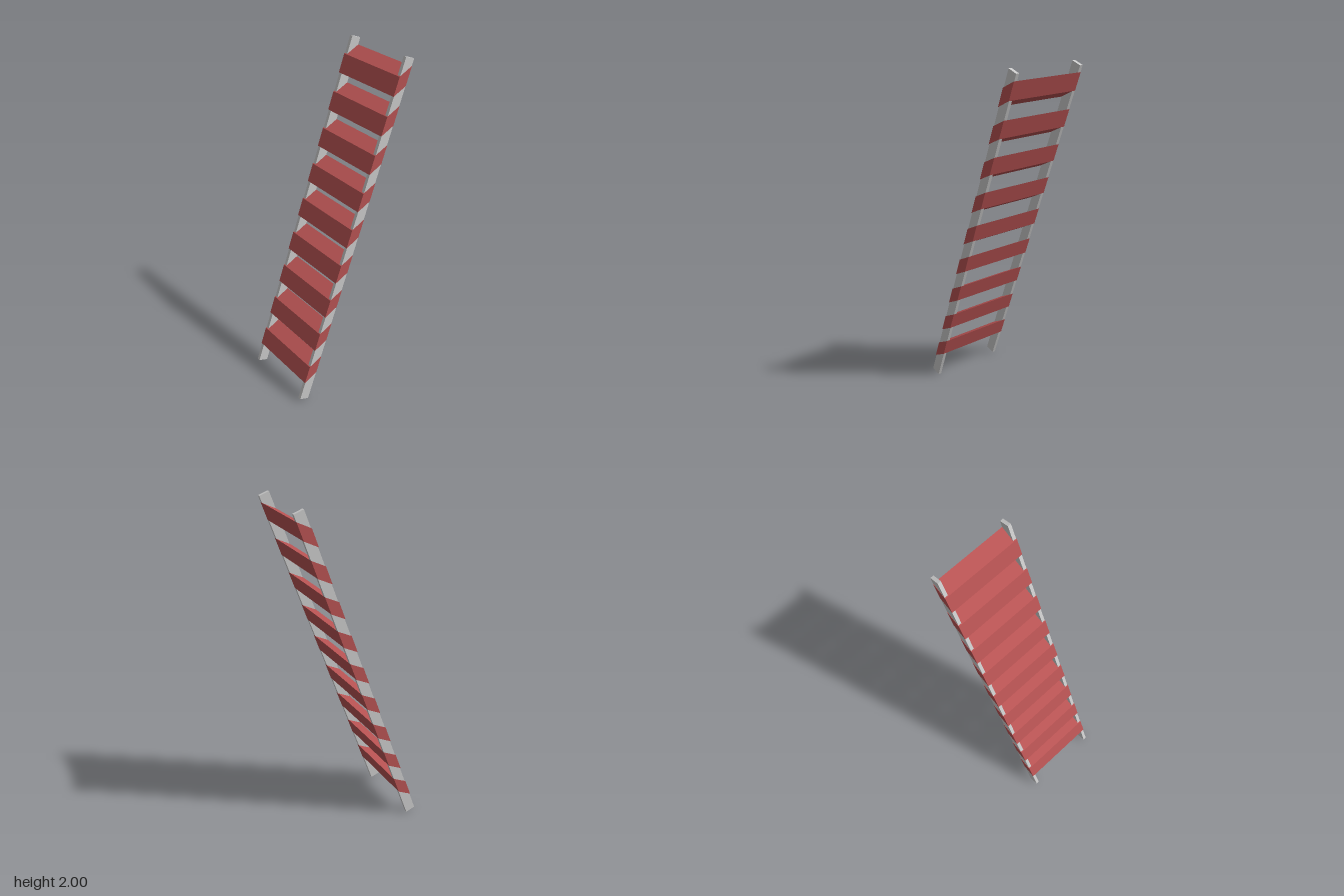
import * as THREE from 'three';

const LEAN = THREE.MathUtils.degToRad(20);
const RUNGS = 9;
const RISE = 0.2083; // vertical distance between rungs

export function createModel() {
  const ladder = new THREE.Group();
  ladder.name = 'leaningLadder';

  const grey = new THREE.MeshStandardMaterial({ color: 0xcccccc, flatShading: true });
  const red = new THREE.MeshStandardMaterial({ color: 0xb85353, flatShading: true });

  // Two straight side rails, leaning towards +x
  const railGeometry = new THREE.BoxGeometry(0.0605, 2.106, 0.02);
  for (const [name, side] of [['frontRail', 1], ['backRail', -1]]) {
    const rail = new THREE.Mesh(railGeometry, grey);
    rail.name = name;
    rail.position.set(0, 1, side * 0.225);
    rail.rotation.z = -LEAN;
    ladder.add(rail);
  }

  // Slanted rung section, a hair proud of the rails on every side
  const section = new THREE.Shape([
    new THREE.Vector2(-0.353, 0.13),
    new THREE.Vector2(-0.2695, 0.171),
    new THREE.Vector2(-0.232, 0.274),
    new THREE.Vector2(-0.3155, 0.233),
  ]);
  const rungGeometry = new THREE.ExtrudeGeometry(section, { depth: 0.473, bevelEnabled: false });
  rungGeometry.translate(0, 0, -0.2365);

  // Rungs step up along the lean
  for (let i = 0; i < RUNGS; i++) {
    const rung = new THREE.Mesh(rungGeometry, red);
    rung.name = `rung${i + 1}`;
    rung.position.set(i * RISE * Math.tan(LEAN), i * RISE, 0);
    ladder.add(rung);
  }

  return ladder;
}
